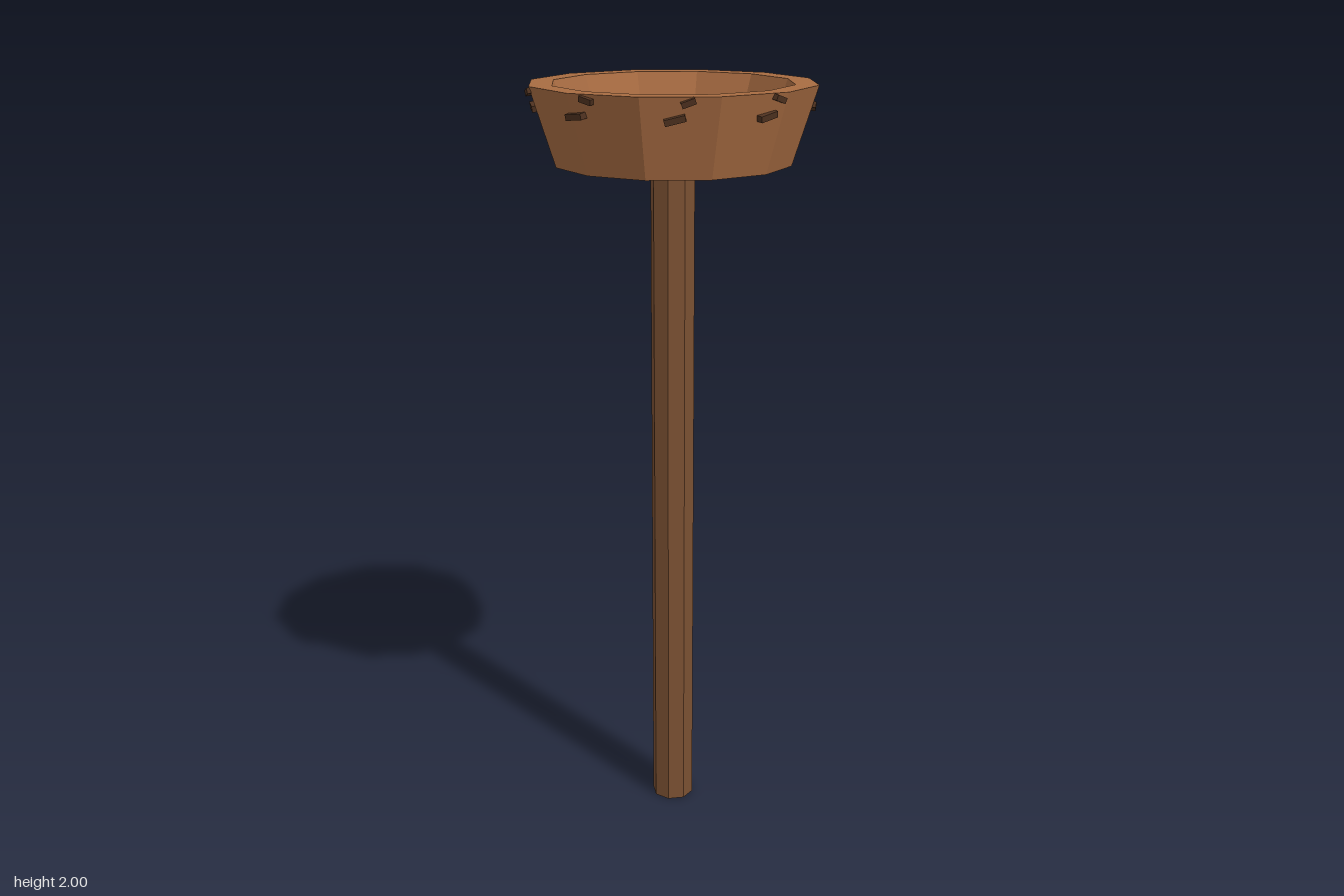
import * as THREE from 'three';

const RIM_Y = 1.996, BASE_Y = 1.8, RIM_R = 0.363, BASE_R = 0.3, SIDES = 12;

// Split the faces so each one is shaded flat
function faceted(geometry) {
  const flat = geometry.toNonIndexed();
  flat.computeVertexNormals();
  return flat;
}

function addMesh(parent, name, geometry, material) {
  const mesh = new THREE.Mesh(geometry, material);
  mesh.name = name;
  parent.add(mesh);
  return mesh;
}

// Distance from the axis to the bowl's outer face at a height and angle
function wallRadius(y, angle) {
  const half = Math.PI / SIDES;
  const step = 2 * half;
  const offset = ((angle % step) + step) % step - half;
  const r = THREE.MathUtils.mapLinear(y, BASE_Y, RIM_Y, BASE_R, RIM_R);
  return r * Math.cos(half) / Math.cos(offset);
}

export function createModel() {
  const model = new THREE.Group();
  model.name = 'bowlOnPost';

  const bowlWood = new THREE.MeshStandardMaterial({ color: 0xa86c42 });
  bowlWood.name = 'warm wood';
  const postWood = new THREE.MeshStandardMaterial({ color: 0x7a5032 });
  postWood.name = 'dark wood';
  const chipWood = new THREE.MeshStandardMaterial({ color: 0x4f3220 });
  chipWood.name = 'bark brown';

  // Eight-sided post
  const post = addMesh(model, 'post', faceted(new THREE.CylinderGeometry(0.057, 0.057, 1.8, 8)), postWood);
  post.position.y = 0.9;

  // Twelve-sided bowl: underside, outer wall, rim, inner wall, floor
  const profile = [
    [0, BASE_Y], [BASE_R, BASE_Y], [RIM_R, RIM_Y], [0.305, RIM_Y], [0.251, 1.845], [0, 1.845],
  ].map(([x, y]) => new THREE.Vector2(x, y));
  addMesh(model, 'bowl', faceted(new THREE.LatheGeometry(profile, SIDES)), bowlWood);

  // Two staggered rows of small bark chips set into the outer wall
  const chips = new THREE.Group();
  chips.name = 'barkChips';
  model.add(chips);
  const rows = [
    { name: 'lowerChip', y: 1.944, size: [0.05, 0.015, 0.026],
      angles: [-5, 38, 77, 118, 158, 198, 238, 279, 319], tilts: [-16, 12, 14, 6, -8, 10, 24, -12, 16] },
    { name: 'upperChip', y: 1.983, size: [0.034, 0.014, 0.02],
      angles: [-13, 34, 72, 112, 152, 193, 232, 272, 312], tilts: [14, -18, 20, -14, 16, 20, -12, 14, 20] },
  ];
  for (const { name, y, size, angles, tilts } of rows) {
    const geometry = new THREE.BoxGeometry(...size);
    angles.forEach((degrees, i) => {
      const a = THREE.MathUtils.degToRad(degrees);
      const r = wallRadius(y, a) + 0.001;
      const chip = addMesh(chips, name, geometry, chipWood);
      chip.position.set(r * Math.cos(a), y, r * Math.sin(a));
      chip.rotation.set(0.15, Math.PI / 2 - a, THREE.MathUtils.degToRad(tilts[i]), 'YXZ');
    });
  }

  return model;
}
